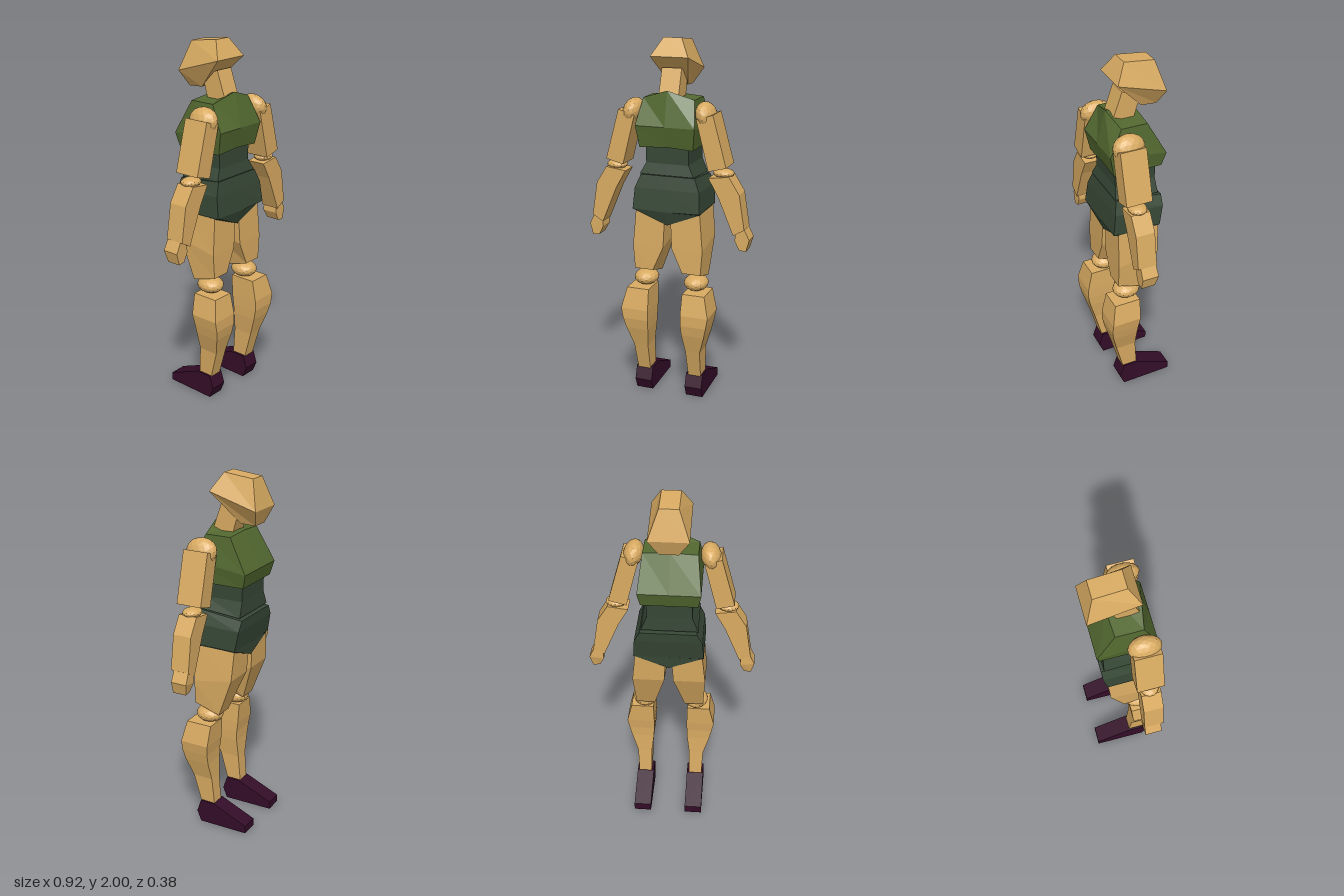
import * as THREE from 'three';

const paint = (color) => new THREE.MeshStandardMaterial({ color, flatShading: true });

// Four-cornered cross-section; dx and dz tilt it (height change from -x to +x, -z to +z).
function quad(x0, x1, z0, z1, y, dx = 0, dz = 0) {
  const p = (x, z, sx, sz) => [x, y + (sx * dx + sz * dz) / 2, z];
  return [p(x0, z1, -1, 1), p(x1, z1, 1, 1), p(x1, z0, 1, -1), p(x0, z0, -1, -1)];
}

// Six-cornered torso section with its own centre points: [y, z] for the +z and -z seams.
function hex(w, plus, minus, midPlus = plus, midMinus = minus) {
  return [
    [-w, ...plus], [0, ...midPlus], [w, ...plus],
    [w, ...minus], [0, ...midMinus], [-w, ...minus],
  ];
}

// Faceted solid through cross-sections listed from top to bottom.
function loft(sections, side = 1) {
  const rings = sections.map((r) => (side > 0 ? r : r.map(([x, y, z]) => [-x, y, z]).reverse()));
  const n = rings[0].length;
  const pos = [];
  const tri = (...pts) => pts.forEach((p) => pos.push(...p));
  for (let k = 0; k + 1 < rings.length; k++) {
    for (let i = 0; i < n; i++) {
      const j = (i + 1) % n;
      const [a, b, c, d] = [rings[k][i], rings[k][j], rings[k + 1][i], rings[k + 1][j]];
      tri(a, c, d);
      tri(a, d, b);
    }
  }
  const centre = (r) => [0, 1, 2].map((q) => r.reduce((s, p) => s + p[q], 0) / n);
  const top = rings[0], bottom = rings[rings.length - 1];
  for (let i = 0; i < n; i++) {
    const j = (i + 1) % n;
    tri(centre(top), top[i], top[j]);
    tri(centre(bottom), bottom[j], bottom[i]);
  }
  const g = new THREE.BufferGeometry();
  g.setAttribute('position', new THREE.Float32BufferAttribute(pos, 3));
  g.computeVertexNormals();
  return g;
}

export function createModel() {
  const model = new THREE.Group();
  model.name = 'jointedFigure';
  const skin = paint(0xd9ab62), shirt = paint(0x536930), trunk = paint(0x364735), shoe = paint(0x340d28);

  const add = (parent, name, geometry, material) => {
    const mesh = new THREE.Mesh(geometry, material);
    mesh.name = name;
    parent.add(mesh);
    return mesh;
  };
  const joint = (parent, name, centre, radii, tilt = 0) => {
    const m = add(parent, name, new THREE.IcosahedronGeometry(1, 2), skin);
    m.position.set(...centre);
    m.scale.set(...radii);
    m.rotation.z = tilt;
  };

  // Head and neck
  add(model, 'head', loft([
    quad(-0.05, 0.05, -0.14, 0.027, 1.99, 0, 0.02),
    quad(-0.105, 0.105, -0.185, 0.085, 1.865, 0, 0.08),
    quad(-0.05, 0.05, -0.155, -0.07, 1.742, 0, 0.005),
  ]), skin);
  add(model, 'neck', loft([
    quad(-0.055, 0.055, -0.06, 0.04, 1.825, 0, 0.04),
    quad(-0.055, 0.055, -0.02, 0.088, 1.69, 0, 0.04),
  ]), skin);

  // Torso
  add(model, 'chest', loft([
    hex(0.143, [1.69, 0.085], [1.69, -0.06], [1.735, 0.11], [1.7, -0.067]),
    hex(0.165, [1.55, 0.155], [1.507, -0.16]),
    hex(0.15, [1.43, 0.13], [1.43, -0.14], [1.44, 0.13]),
  ]), shirt);
  add(model, 'waist', loft([
    hex(0.12, [1.46, 0.11], [1.44, -0.12]),
    hex(0.12, [1.345, 0.11], [1.345, -0.118]),
    hex(0.152, [1.285, 0.125], [1.265, -0.122]),
  ]), trunk);

  const lower = new THREE.Group();
  lower.name = 'lowerBody';
  lower.position.x = 0.006;
  model.add(lower);
  add(lower, 'pelvis', loft([
    hex(0.152, [1.282, 0.125], [1.255, -0.138]),
    hex(0.182, [1.21, 0.14], [1.2, -0.135]),
    hex(0.19, [1.095, 0.155], [1.09, -0.115], [1.09, 0.155]),
    hex(0.185, [1.085, 0.13], [1.085, -0.11], [1.01, 0.13], [1.015, -0.112]),
  ]), trunk);

  for (const side of [1, -1]) {
    const label = side > 0 ? 'left' : 'right';
    const limb = (parent, name, sections, material = skin) =>
      add(parent, label + name, loft(sections, side), material);

    // Arm
    joint(model, label + 'Shoulder', [side * 0.203, 1.617, 0.073], [0.053, 0.07, 0.087], side * 0.3);
    limb(model, 'UpperArm', [
      quad(0.172, 0.262, 0.003, 0.147, 1.615, 0.03),
      quad(0.24, 0.337, 0.003, 0.147, 1.345, 0.025),
    ]);
    joint(model, label + 'Elbow', [side * 0.303, 1.315, 0.074], [0.058, 0.025, 0.05]);
    limb(model, 'Forearm', [
      quad(0.235, 0.347, 0.022, 0.128, 1.3, 0.015),
      quad(0.29, 0.405, 0.022, 0.128, 1.205, 0.02),
      quad(0.375, 0.435, 0.022, 0.128, 1.01, 0.035),
    ]);
    limb(model, 'Hand', [
      quad(0.385, 0.43, 0.025, 0.113, 1.02, 0.02),
      quad(0.38, 0.46, 0.022, 0.113, 0.965, 0.01),
      quad(0.405, 0.443, 0.035, 0.113, 0.908, -0.005),
    ]);

    // Leg
    limb(lower, 'Thigh', [
      quad(0.015, 0.182, -0.11, 0.125, 1.09),
      quad(0.025, 0.2, -0.1, 0.13, 0.9, 0, -0.04),
      quad(0.085, 0.19, -0.018, 0.13, 0.722, 0, 0.045),
    ]);
    joint(lower, label + 'Knee', [side * 0.146, 0.68, 0.064], [0.068, 0.045, 0.077]);
    limb(lower, 'Shin', [
      quad(0.098, 0.225, 0.015, 0.165, 0.638),
      quad(0.095, 0.253, 0.022, 0.19, 0.52),
      quad(0.096, 0.242, 0.03, 0.19, 0.46),
      quad(0.099, 0.228, 0.032, 0.178, 0.4),
      quad(0.112, 0.195, 0.028, 0.145, 0.29),
      quad(0.115, 0.188, 0.015, 0.1, 0.12),
    ]);

    // Shoe: side profile (-z, y) extruded across its width
    const outline = [[-0.1, 0.135], [-0.125, 0.062], [-0.1, 0], [0.19, 0.005], [0.19, 0.05], [-0.012, 0.135]];
    const profile = new THREE.Shape(outline.map(([u, v]) => new THREE.Vector2(u, v)));
    const geo = new THREE.ExtrudeGeometry(profile, { depth: 0.098, bevelEnabled: false });
    geo.rotateY(Math.PI / 2).translate(side * 0.15 - 0.049, 0, 0);
    add(lower, label + 'Shoe', geo, shoe);
  }
  return model;
}
